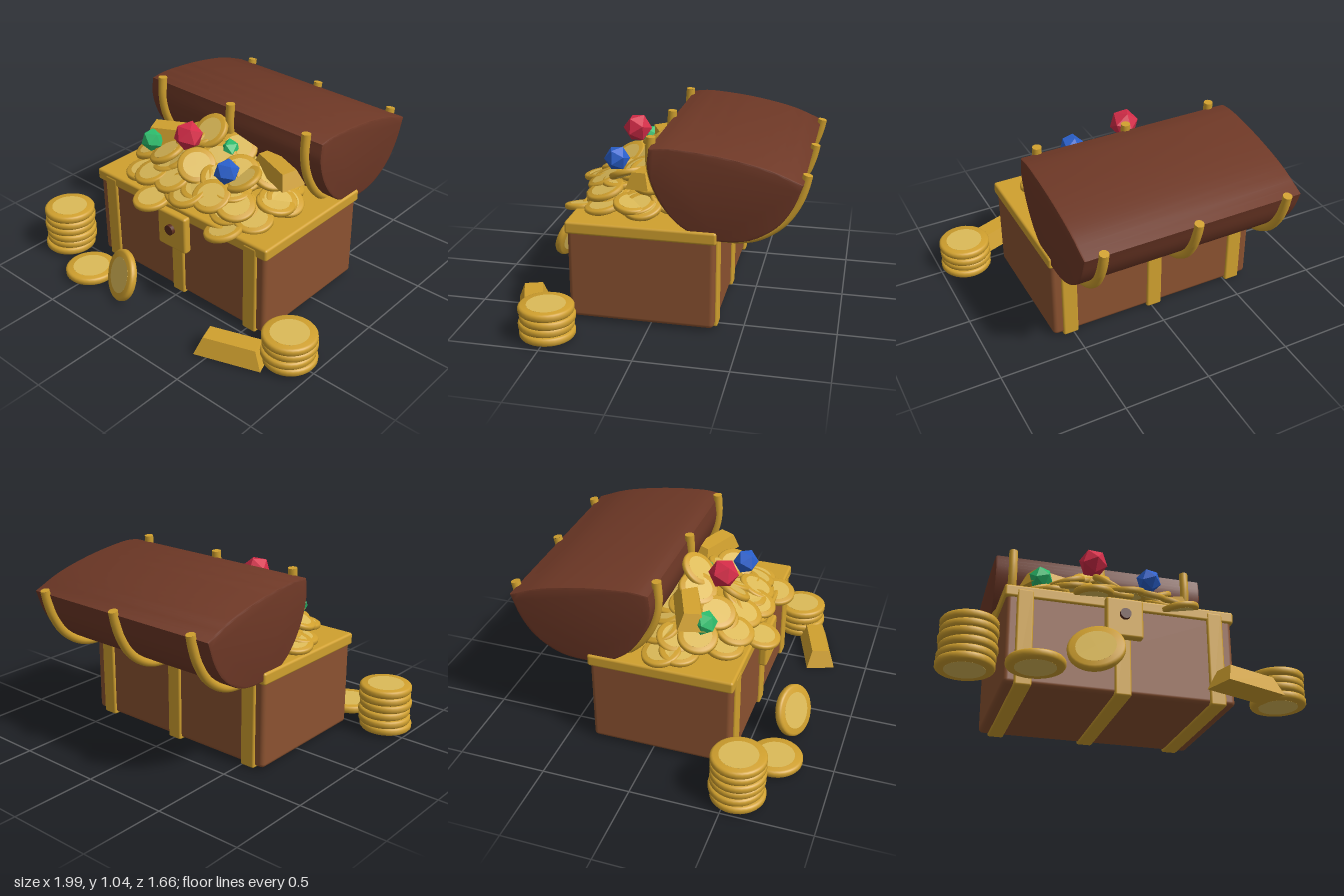
import * as THREE from 'three';
import { toCreasedNormals } from 'three/addons/utils/BufferGeometryUtils.js';
import { RoundedBoxGeometry } from 'three/addons/geometries/RoundedBoxGeometry.js';

const material = (name, color) => {
  const m = new THREE.MeshStandardMaterial({ color });
  m.name = name;
  return m;
};

export function createModel() {
  const model = new THREE.Group();
  model.name = 'treasureChest';
  const bodyWood = material('body wood', 0x8b5230);
  const lidWood = material('lid wood', 0x6e3826);
  const gold = material('gold', 0xd0a02e);
  const coinFace = material('coin face', 0xdcba58);
  const keyhole = material('keyhole brown', 0x5a2c1c);
  const ruby = material('ruby', 0xd42c48);
  const sapphire = material('sapphire', 0x2a60cc);
  const emerald = material('emerald', 0x2cbc6c);

  const add = (name, geometry, mat, x = 0, y = 0, z = 0, parent = model) => {
    const mesh = new THREE.Mesh(geometry, mat);
    mesh.name = name;
    mesh.position.set(x, y, z);
    parent.add(mesh);
    return mesh;
  };
  const box = (name, w, h, d, r, mat, x, y, z) =>
    add(name, new RoundedBoxGeometry(w, h, d, 3, r), mat, x, y, z);

  let seed = 7;
  const rand = () => {
    seed = (seed * 16807) % 2147483647;
    return seed / 2147483647;
  };

  // Chest body, rim and lock
  const cx = -0.013;
  const strapX = [-0.545, cx, 0.518];
  box('chestBody', 1.265, 0.54, 0.8, 0.025, bodyWood, cx, 0.295, 0.05);
  box('rim', 1.29, 0.07, 0.82, 0.014, gold, cx, 0.55, 0.05);
  box('lockPlate', 0.21, 0.23, 0.05, 0.015, gold, cx, 0.448, 0.48);
  add('keyhole', new THREE.CylinderGeometry(0.03, 0.03, 0.03, 20).rotateX(Math.PI / 2),
    keyhole, cx, 0.463, 0.511);
  for (const x of strapX) box('bodyStrap', 0.092, 0.55, 0.826, 0.012, gold, x, 0.29, 0.05);

  // Open lid: an extruded domed section, given as (z, y)
  const smooth = (pts) => new THREE.CatmullRomCurve3(pts.map(([z, y]) => new THREE.Vector3(-z, y, 0)));
  const dome = smooth([[-0.01, 1.005], [-0.002, 0.92], [-0.025, 0.82], [-0.075, 0.72], [-0.15, 0.63],
    [-0.26, 0.565], [-0.39, 0.546], [-0.53, 0.565], [-0.66, 0.645], [-0.735, 0.75], [-0.78, 0.87]]);
  const top = smooth([[-0.78, 0.87], [-0.62, 0.933], [-0.4, 0.982], [-0.2, 1.007], [-0.08, 1.013], [-0.01, 1.005]]);
  const outline = [...dome.getPoints(40), ...top.getPoints(20).slice(1, -1)];
  const lidShape = new THREE.Shape(outline.map((p) => new THREE.Vector2(p.x, p.y)));
  const lid = new THREE.ExtrudeGeometry(lidShape, {
    depth: 1.245, bevelEnabled: true, bevelSize: 0.01, bevelThickness: 0.01, bevelSegments: 2,
  });
  lid.rotateY(Math.PI / 2);
  add('lid', toCreasedNormals(lid, 0.6), lidWood, cx - 0.6225, 0, 0);

  // Curved bands around the lid, with flat ends
  const bandCurve = smooth([[0.008, 1.05], [0.014, 0.93], [-0.005, 0.82], [-0.055, 0.71], [-0.13, 0.62],
    [-0.25, 0.545], [-0.4, 0.522], [-0.55, 0.542], [-0.68, 0.625], [-0.755, 0.735], [-0.79, 0.83], [-0.805, 0.9]]);
  const bandGeometry = new THREE.TubeGeometry(bandCurve, 48, 0.026, 12);
  const capGeometry = new THREE.CircleGeometry(0.026, 12);
  for (const x of strapX) {
    const band = new THREE.Group();
    band.name = 'lidBand';
    add('bandTube', bandGeometry, gold, 0, 0, 0, band);
    for (const t of [0, 1]) {
      const p = bandCurve.getPoint(t);
      const cap = add('bandEnd', capGeometry, gold, p.x, p.y, 0, band);
      cap.quaternion.setFromUnitVectors(new THREE.Vector3(0, 0, 1),
        bandCurve.getTangent(t).multiplyScalar(t ? 1 : -1));
    }
    band.rotation.y = Math.PI / 2;
    band.position.x = x;
    model.add(band);
  }

  // Coins: rounded gold edge with a paler disc on both faces (unit radius)
  const profile = [[0, -0.12], [0.9, -0.15], [0.96, -0.125], [1, -0.07], [1, 0.07], [0.96, 0.125], [0.9, 0.15], [0, 0.12]];
  const coinGeometry = toCreasedNormals(
    new THREE.LatheGeometry(profile.map(([x, y]) => new THREE.Vector2(x, y)), 32), 0.9);
  const discGeometry = new THREE.CylinderGeometry(0.7, 0.7, 0.29, 32);
  const coin = (name, r, x, y, z, rx = 0, ry = 0, rz = 0) => {
    const g = new THREE.Group();
    g.name = name;
    add('coinEdge', coinGeometry, gold, 0, 0, 0, g);
    add('coinDisc', discGeometry, coinFace, 0, 0, 0, g);
    g.scale.setScalar(r);
    g.rotation.set(rx, ry, rz, 'YXZ');
    g.position.set(x, y, z);
    model.add(g);
  };

  // Stacks and loose coins on the ground
  const stack = (n, x, z) => {
    for (let i = 0; i < n; i++) {
      coin('stackCoin', 0.15, x + (rand() - 0.5) * 0.016, 0.043 + i * 0.0455, z + (rand() - 0.5) * 0.016);
    }
  };
  stack(6, -0.845, 0.55);
  stack(4, 0.835, 0.505);
  coin('flatCoin', 0.15, -0.525, 0.043, 0.678);
  coin('leaningCoin', 0.148, -0.225, 0.152, 0.7, 1.22, -0.36, 0);

  // Visible heap coins: x, y, z, tilt forward, tilt sideways
  const heap = [
    [-0.18, 0.585, 0.48, 0.2, 0.05], [-0.39, 0.625, 0.33, 0.15, 0.1], [-0.52, 0.625, 0.12, 0.1, 0.15],
    [-0.55, 0.62, 0.03, -0.1, 0.2], [0.16, 0.68, 0.36, 0.45, -0.1], [0.32, 0.57, 0.44, 0.12, 0.2],
    [0.41, 0.61, 0.3, 0.2, -0.1], [0.42, 0.64, 0.11, 0.1, -0.3], [-0.03, 0.76, 0.27, 0.5, -0.4],
    [-0.09, 0.885, 0.09, 0.7, 0.1], [0.19, 0.76, 0.16, 0.4, -0.25], [0.25, 0.75, 0.2, 0.3, 0.35],
    [-0.28, 0.75, 0.25, 0.3, 0.35], [-0.29, 0.66, 0.36, 0.3, 0.15], [-0.45, 0.69, 0.2, 0.2, 0.35],
    [0.02, 0.66, 0.4, 0.35, 0.1], [-0.13, 0.68, 0.36, 0.4, 0.1], [0.3, 0.66, 0.32, 0.3, -0.2],
    [0.08, 0.82, 0.05, 0.4, -0.3], [-0.2, 0.83, 0.12, 0.4, 0.3], [0.32, 0.74, 0.05, 0.1, -0.4],
  ];
  for (const [x, y, z, rx, rz] of heap) coin('heapCoin', 0.11, x, y, z, rx, 0, rz);

  // Filler coins lying on the slope of a low mound
  for (let i = 0; i < 40; i++) {
    const a = rand() * Math.PI * 2;
    const d = Math.sqrt(rand()) * 0.85;
    const x = -0.04 + Math.cos(a) * d * 0.58;
    const z = 0.09 + Math.sin(a) * d * 0.4;
    if (z < -0.06) continue;
    coin('heapCoin', 0.11, x, 0.59 + 0.25 * (1 - d), z,
      Math.sin(a) * 0.45 + (rand() - 0.5) * 0.4, 0, -Math.cos(a) * 0.35 + (rand() - 0.5) * 0.4);
  }

  // Gold bars: boxes with a narrowed top
  const barGeometry = new THREE.BoxGeometry(0.38, 0.1, 0.17);
  const pos = barGeometry.attributes.position;
  for (let i = 0; i < pos.count; i++) {
    if (pos.getY(i) > 0) {
      pos.setX(i, pos.getX(i) * 0.78);
      pos.setZ(i, pos.getZ(i) * 0.6);
    }
  }
  barGeometry.computeVertexNormals();
  const bar = (x, y, z, rx, ry, rz, s) => {
    const m = add('goldBar', barGeometry, gold, x, y, z);
    m.rotation.set(rx, ry, rz, 'YXZ');
    m.scale.setScalar(s);
  };
  bar(0.585, 0.068, 0.668, 0, 0.34, 0, 1);
  bar(-0.34, 0.8, 0.12, 0.1, 0.4, 0.05, 0.9);
  bar(0.36, 0.795, 0.04, 0.1, -0.35, -0.03, 0.85);

  // Gems
  const gem = (name, mat, r, x, y, z, ry) => {
    add(name, new THREE.IcosahedronGeometry(r, 0).rotateX(0.55), mat, x, y, z).rotation.y = ry;
  };
  gem('ruby', ruby, 0.085, -0.12, 0.905, 0.24, 0.1);
  gem('sapphire', sapphire, 0.073, 0.2, 0.815, 0.28, 0.3);
  gem('leftEmerald', emerald, 0.07, -0.42, 0.768, 0.23, 0.5);
  gem('buriedEmerald', emerald, 0.06, 0.05, 0.815, 0.08, 0.9);

  return model;
}
